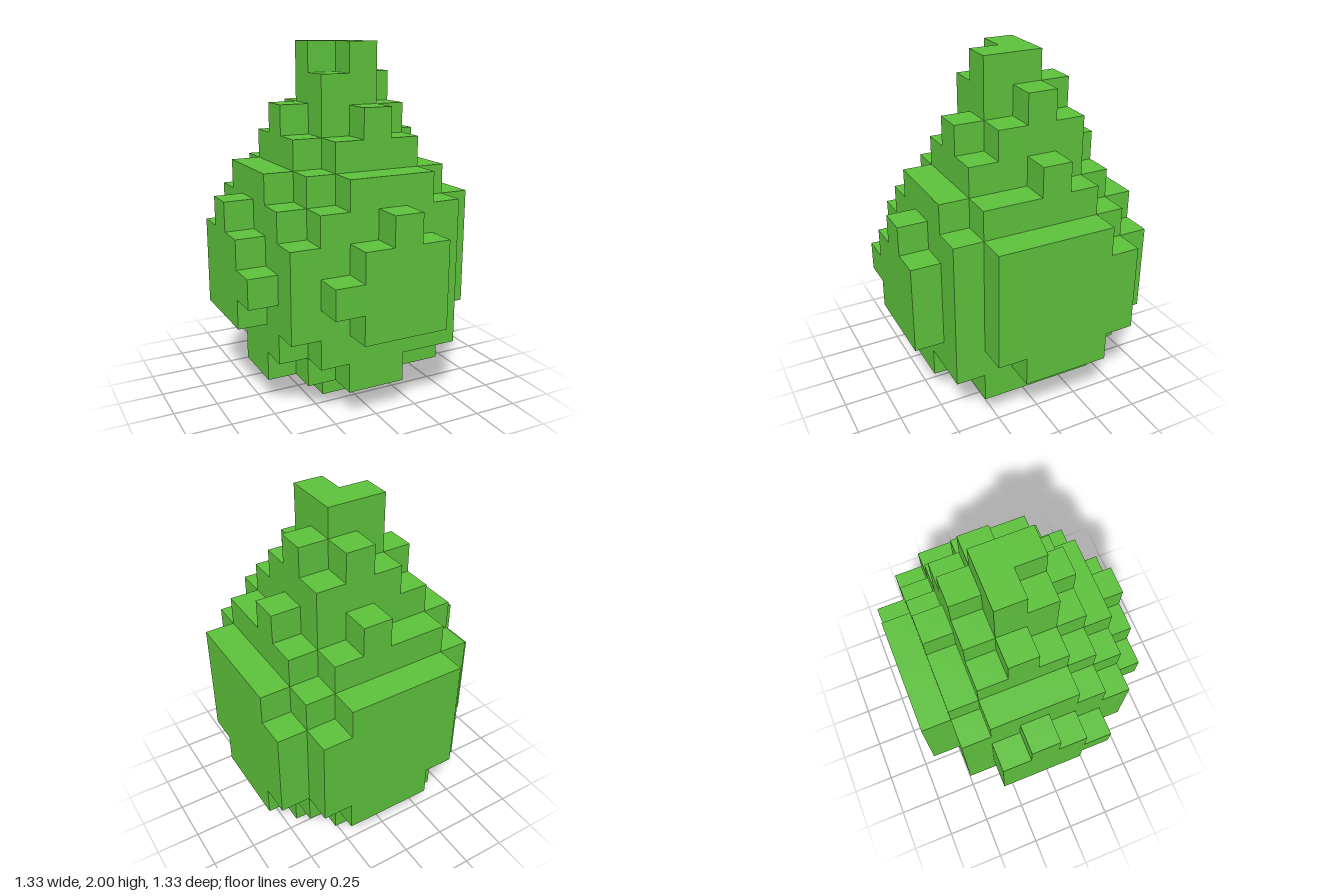
import * as THREE from 'three';

const CELL = 1 / 6;

// Vertical columns of cells: [x, z, bottom, top].
// Every column is mirrored across the diagonal plane x = -z.
const PARTS = {
  coreAndSpire: [
    [0, 0, 0, 12], [0, -1, 0, 12], [-1, 0, 0, 11],
  ],
  steppedShoulders: [
    [-2, 1, 1, 8], [-1, 1, 1, 9], [0, 1, 1, 10], [1, 1, 1, 9],
    [1, 0, 1, 10], [1, -1, 1, 11], [1, -2, 1, 10],
  ],
  shell: [
    [-3, 2, 3, 6], [-2, 2, 2, 7], [-1, 2, 1, 8], [0, 2, 1, 8], [1, 2, 2, 8], [2, 2, 2, 7],
    [2, 1, 1, 8], [2, 0, 1, 8], [2, -1, 1, 9], [2, -2, 1, 8], [2, -3, 2, 7],
  ],
  narrowPlates: [ // front and its mirror on the -x side
    [-2, 3, 4, 5], [-1, 3, 3, 6], [0, 3, 3, 7], [1, 3, 3, 6],
  ],
  widePlates: [ // +x side and its mirror on the back
    [3, 1, 3, 7], [3, 0, 2, 7], [3, -1, 2, 7], [3, -2, 2, 7], [3, -3, 3, 6],
  ],
};

const key = (x, z) => `${x},${z}`;

// Adds one flat quad, corners counter-clockwise from outside
function addQuad(out, a, b, c, d) {
  for (const p of [a, b, c, a, c, d]) out.push(p[0] * CELL, p[1] * CELL, p[2] * CELL);
}

// Adds the outward faces of one column that no neighbour covers
function addColumn(out, [x, z, bottom, top], all) {
  addQuad(out, [x, top, z + 1], [x + 1, top, z + 1], [x + 1, top, z], [x, top, z]);
  addQuad(out, [x, bottom, z], [x + 1, bottom, z], [x + 1, bottom, z + 1], [x, bottom, z + 1]);
  for (const [dx, dz] of [[1, 0], [-1, 0], [0, 1], [0, -1]]) {
    const neighbour = all.get(key(x + dx, z + dz));
    const spans = neighbour
      ? [[bottom, Math.min(top, neighbour[2])], [Math.max(bottom, neighbour[3]), top]]
      : [[bottom, top]];
    const cx = x + 0.5 + dx / 2, cz = z + 0.5 + dz / 2;
    const lx = cx - dz / 2, lz = cz + dx / 2;
    const rx = cx + dz / 2, rz = cz - dx / 2;
    for (const [lo, hi] of spans) {
      if (hi > lo) addQuad(out, [lx, lo, lz], [rx, lo, rz], [rx, hi, rz], [lx, hi, lz]);
    }
  }
}

export function createModel() {
  const group = new THREE.Group();
  group.name = 'steppedBlockBud';
  const leafGreen = new THREE.MeshStandardMaterial({ color: 0x5cc03b });
  leafGreen.name = 'leaf green';

  // Mirror the columns and index them all by position
  const all = new Map();
  const parts = Object.entries(PARTS).map(([name, half]) => {
    const columns = new Map();
    for (const [x, z, bottom, top] of half) {
      columns.set(key(x, z), [x, z, bottom, top]);
      columns.set(key(-1 - z, -1 - x), [-1 - z, -1 - x, bottom, top]);
    }
    columns.forEach((column, k) => all.set(k, column));
    return [name, columns];
  });

  // One mesh for each part
  for (const [name, columns] of parts) {
    const positions = [];
    columns.forEach((column) => addColumn(positions, column, all));
    const geometry = new THREE.BufferGeometry();
    geometry.setAttribute('position', new THREE.Float32BufferAttribute(positions, 3));
    geometry.computeVertexNormals();
    const mesh = new THREE.Mesh(geometry, leafGreen);
    mesh.name = name;
    group.add(mesh);
  }
  return group;
}
